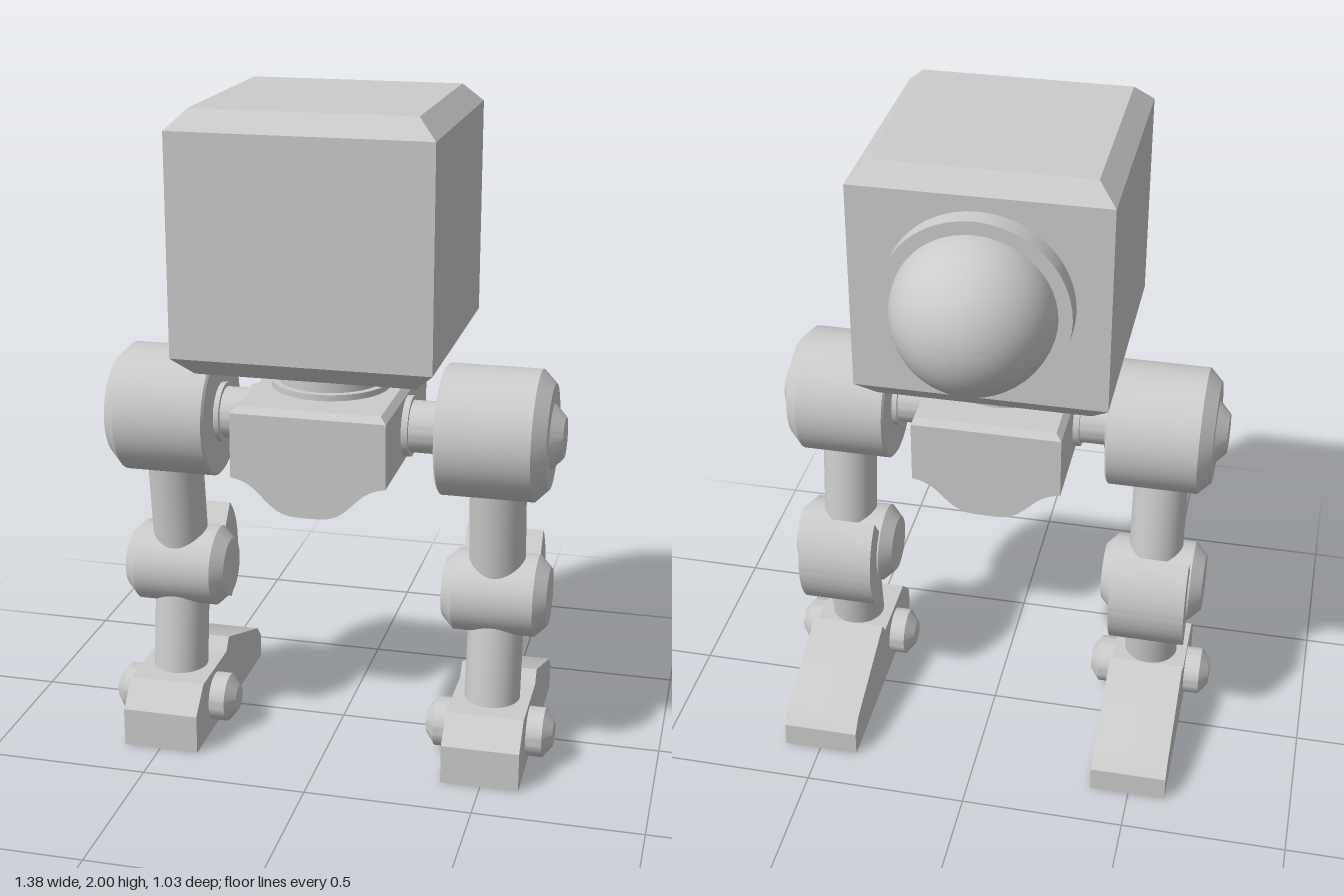
import * as THREE from 'three';
import { toCreasedNormals } from 'three/addons/utils/BufferGeometryUtils.js';

const material = new THREE.MeshStandardMaterial({ color: 0xcccccc });
const BODY_Z = 0.15; // depth of the hip, neck and ankle axes

function add(parent, name, geometry) {
  const mesh = new THREE.Mesh(toCreasedNormals(geometry, 0.5), material);
  mesh.name = name;
  parent.add(mesh);
  return mesh;
}

// Turned solid: profile is a list of [position along axis, radius], closed at both ends
function turned(profile) {
  const ends = [[profile[0][0], 0], ...profile, [profile[profile.length - 1][0], 0]];
  return new THREE.LatheGeometry(ends.map(([a, r]) => new THREE.Vector2(r, a)), 48);
}

// Box whose top and bottom rims are chamfered; upright edges stay sharp
function chamferedBox(w, h, d, top, bottom) {
  const geo = new THREE.BoxGeometry(w, h, d, 1, 3, 1);
  const pos = geo.attributes.position;
  for (let i = 0; i < pos.count; i++) {
    const row = Math.round((pos.getY(i) / h + 0.5) * 3);
    const inset = row === 3 ? top : row === 0 ? bottom : 0;
    pos.setX(i, Math.sign(pos.getX(i)) * (w / 2 - inset));
    pos.setZ(i, Math.sign(pos.getZ(i)) * (d / 2 - inset));
    pos.setY(i, [-h / 2, -h / 2 + bottom, h / 2 - top, h / 2][row]);
  }
  return geo;
}

// Extrude a (z, y) outline across x, centred on x = 0
function sideExtrude(shape, width) {
  const geo = new THREE.ExtrudeGeometry(shape, { depth: width, bevelEnabled: false, curveSegments: 24 });
  return geo.translate(0, 0, -width / 2).rotateY(-Math.PI / 2);
}

// Round strut between two (y, z) points
function strut(parent, name, y0, z0, y1, z1, radius) {
  const from = new THREE.Vector3(0, y0, z0), to = new THREE.Vector3(0, y1, z1);
  const dir = to.clone().sub(from);
  const mesh = add(parent, name, new THREE.CylinderGeometry(radius, radius, dir.length(), 40));
  mesh.position.copy(from).add(to).multiplyScalar(0.5);
  mesh.quaternion.setFromUnitVectors(new THREE.Vector3(0, 1, 0), dir.normalize());
}

function buildLeg(side) {
  const leg = new THREE.Group();
  leg.name = side > 0 ? 'leftLeg' : 'rightLeg';
  leg.position.x = side * 0.497;

  // Turned part lying along x; profile positions run outward from the leg's middle
  const crossPart = (name, profile, y, z) => {
    const mesh = add(leg, name, turned(profile));
    mesh.rotation.z = -side * Math.PI / 2;
    mesh.position.set(0, y, z);
  };

  crossPart('hipAxle', [[-0.3, 0.09], [-0.252, 0.09], [-0.252, 0.077], [-0.174, 0.077],
    [-0.174, 0.09], [-0.14, 0.09]], 1.047, BODY_Z);
  crossPart('hipDrum', [[-0.158, 0.185], [-0.152, 0.193], [0.119, 0.193], [0.158, 0.154],
    [0.158, 0.097], [0.193, 0.06]], 1.047, BODY_Z);
  strut(leg, 'upperLeg', 1.047, BODY_Z, 0.52, 0.087, 0.084);
  crossPart('knee', [[-0.158, 0.088], [-0.122, 0.124], [0.122, 0.124], [0.158, 0.088]], 0.52, 0.087);

  // Curved guard wrapped around the rear of the knee
  const guard = new THREE.Shape();
  const spread = 0.9;
  guard.absarc(0, 0, 0.205, Math.PI - spread, Math.PI + spread, false);
  guard.absarc(0, 0, 0.115, Math.PI + spread, Math.PI - spread, true);
  add(leg, 'kneeGuard', sideExtrude(guard, 0.234)).position.set(0, 0.52, 0.087);

  strut(leg, 'lowerLeg', 0.52, 0.087, 0.1, 0.142, 0.084);

  // Foot with a long sloping heel
  const foot = new THREE.Shape([[0.347, 0], [0.347, 0.121], [0.27, 0.195], [0.03, 0.195],
    [0, 0.234], [-0.322, 0.118], [-0.36, 0.078], [-0.36, 0]].map(p => new THREE.Vector2(...p)));
  add(leg, 'foot', sideExtrude(foot, 0.234));
  crossPart('anklePin', [[-0.194, 0.038], [-0.166, 0.075], [0.166, 0.075], [0.194, 0.038]], 0.1, BODY_Z);
  return leg;
}

export function createModel() {
  const model = new THREE.Group();
  model.name = 'walker';

  add(model, 'head', chamferedBox(0.74, 0.74, 0.74, 0.055, 0.055)).position.set(0, 1.63, BODY_Z);

  // Collar and dome on the back of the head
  const collar = add(model, 'domeCollar', turned([[0, 0.272], [0.07, 0.272]]));
  collar.rotation.x = -Math.PI / 2;
  collar.position.set(0, 1.63, -0.21);
  const dome = add(model, 'dome', new THREE.SphereGeometry(0.233, 48, 20, 0, Math.PI * 2, 0, Math.PI / 2));
  dome.rotation.x = -Math.PI / 2;
  dome.position.set(0, 1.63, -0.282);

  // Flanged neck
  add(model, 'neck', turned([[1.15, 0.175], [1.178, 0.175], [1.178, 0.155], [1.245, 0.155],
    [1.245, 0.175], [1.27, 0.175]])).position.z = BODY_Z;

  // Pelvis with a rounded keel and a chamfered top plate
  const keel = new THREE.Shape();
  keel.moveTo(-0.226, 1.14);
  keel.lineTo(-0.226, 0.95);
  keel.bezierCurveTo(-0.13, 0.94, -0.13, 0.845, -0.03, 0.845);
  keel.lineTo(0.03, 0.845);
  keel.bezierCurveTo(0.13, 0.845, 0.13, 0.94, 0.226, 0.95);
  keel.lineTo(0.226, 1.14);
  const pelvis = new THREE.ExtrudeGeometry(keel, { depth: 0.58, bevelEnabled: false, curveSegments: 16 });
  add(model, 'pelvis', pelvis.translate(0, 0, BODY_Z - 0.29));
  add(model, 'pelvisTop', chamferedBox(0.452, 0.02, 0.58, 0.018, 0)).position.set(0, 1.15, BODY_Z);

  for (const side of [1, -1]) model.add(buildLeg(side));
  return model;
}
